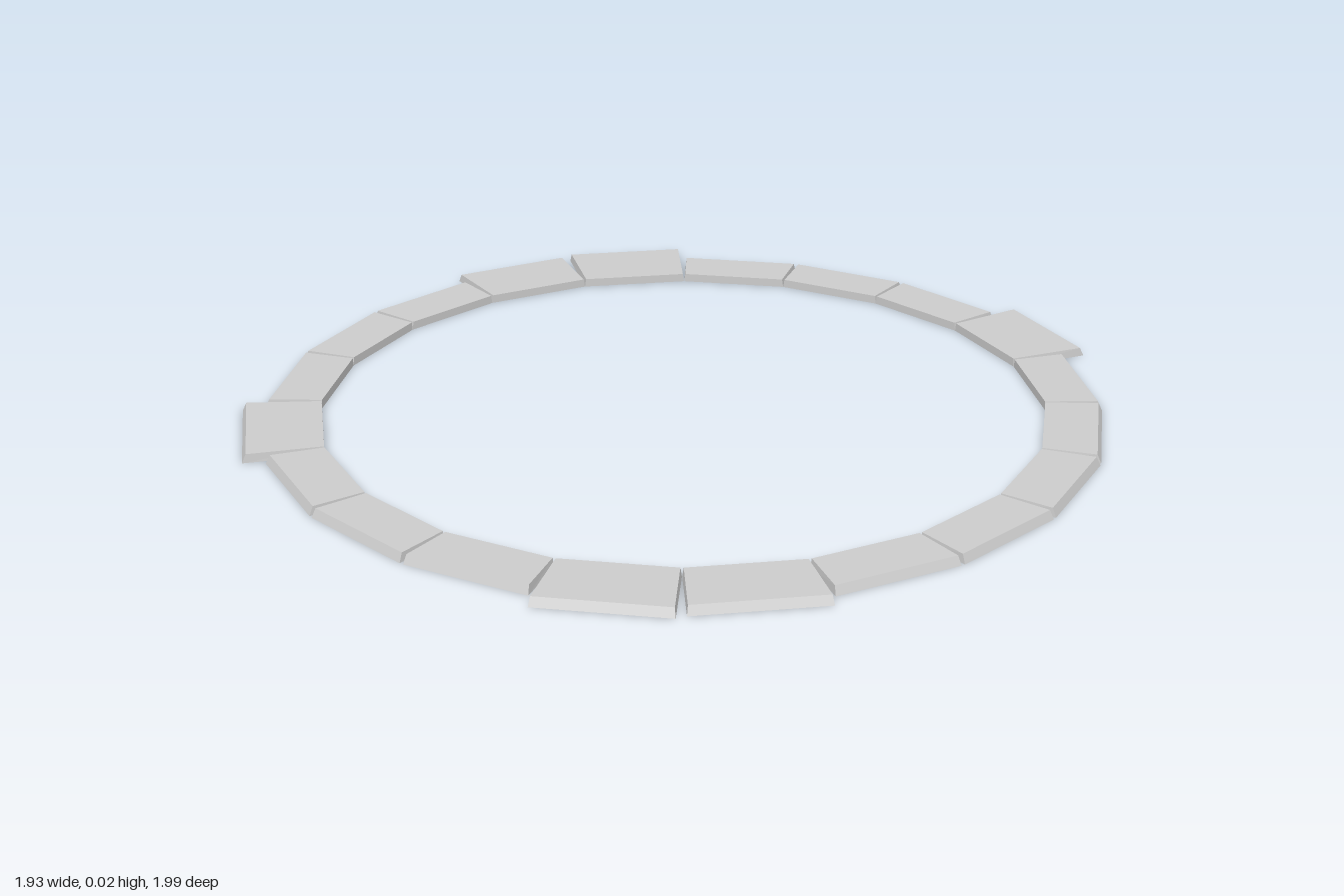
import * as THREE from 'three';

const COUNT = 20;
const HEIGHT = 0.02;
const INNER = 0.816;    // centre to the inner faces
const OUTER = 0.945;    // centre to the outer faces of the short slabs
// Slabs that reach further out, by position in the ring
const LONG = { 3: 1.005, 9: 0.98, 10: 0.99, 14: 0.995, 18: 0.998, 19: 1.013 };

// Wedge slab: wider outside than inside, outer and side faces leaning in slightly
function slabGeometry(outer) {
  const geo = new THREE.BoxGeometry(1, HEIGHT, 1);
  const pos = geo.attributes.position;
  for (let i = 0; i < pos.count; i++) {
    const top = pos.getY(i) > 0;
    const outside = pos.getZ(i) > 0;
    const half = (outside ? 0.145 : 0.129) - (top ? 0.003 : 0);
    pos.setX(i, Math.sign(pos.getX(i)) * half);
    pos.setY(i, top ? HEIGHT : 0);
    pos.setZ(i, outside ? outer - (top ? 0.009 : 0) : INNER);
  }
  geo.computeVertexNormals();
  return geo;
}

export function createModel() {
  const ring = new THREE.Group();
  ring.name = 'stoneRing';
  const material = new THREE.MeshStandardMaterial({ color: 0xcccccc, flatShading: true });

  // Slabs laid edge to edge around the circle, starting at the back
  for (let i = 0; i < COUNT; i++) {
    const slab = new THREE.Mesh(slabGeometry(LONG[i] ?? OUTER), material);
    slab.name = `slab${i + 1}`;
    slab.rotation.y = THREE.MathUtils.degToRad(183 - (i * 360) / COUNT);
    slab.position.set(0.011, 0, -0.002);
    ring.add(slab);
  }
  return ring;
}
